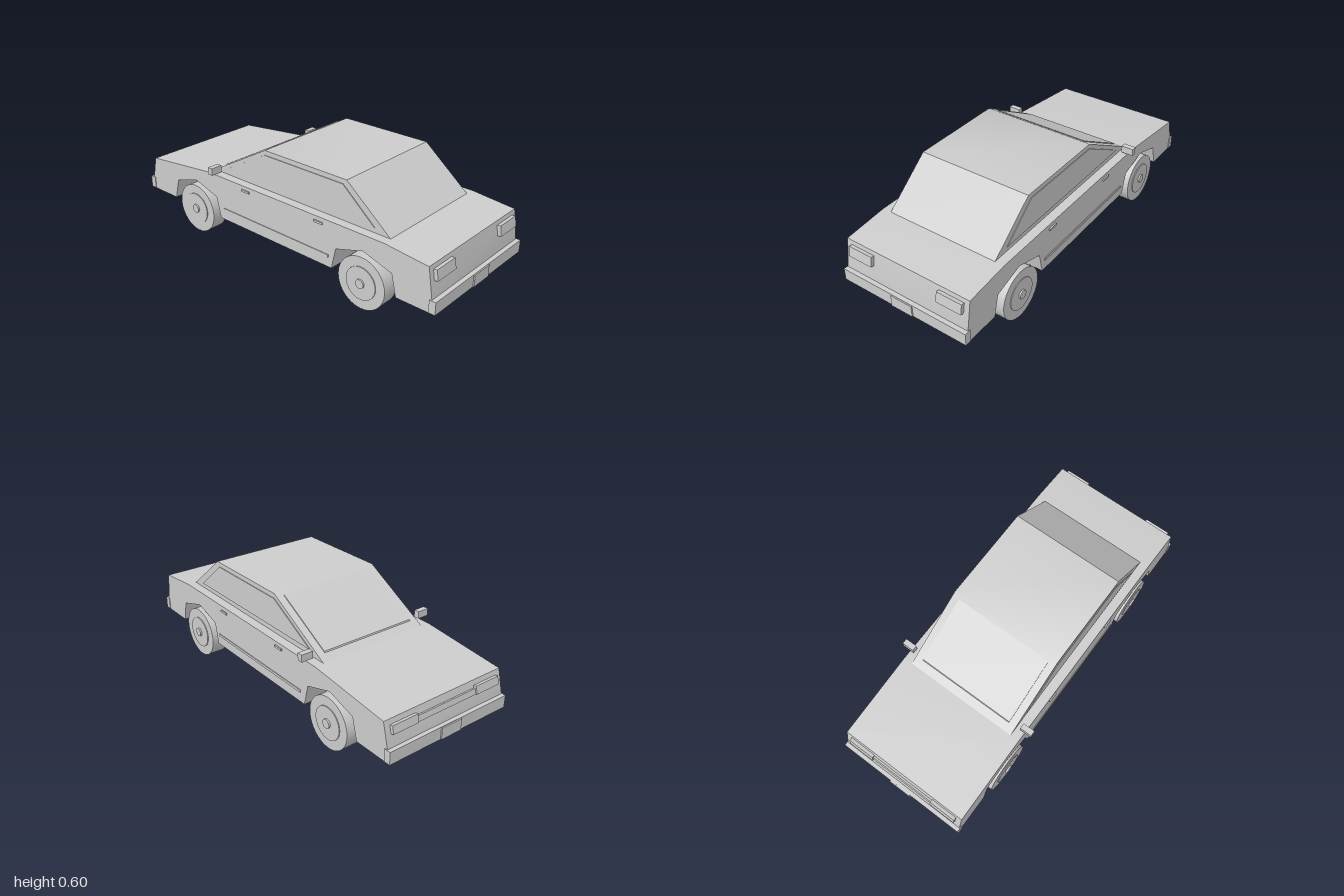
import * as THREE from 'three';
import { toCreasedNormals } from 'three/addons/utils/BufferGeometryUtils.js';

const bodyGrey = new THREE.MeshStandardMaterial({ color: 0xcccccc });
bodyGrey.name = 'bodyGrey';

export function createModel() {
  const car = new THREE.Group();
  car.name = 'car';

  function add(name, geometry) {
    const mesh = new THREE.Mesh(geometry, bodyGrey);
    mesh.name = name;
    car.add(mesh);
    return mesh;
  }

  // Extrude a side profile of (z, y) points across x, centred on x
  function slab(name, points, width, x = 0) {
    const shape = new THREE.Shape(points.map(([z, y]) => new THREE.Vector2(z, y)));
    const geo = new THREE.ExtrudeGeometry(shape, { depth: width, bevelEnabled: false });
    geo.translate(0, 0, -width / 2);
    geo.rotateY(-Math.PI / 2);
    geo.translate(x, 0, 0);
    return add(name, toCreasedNormals(geo, THREE.MathUtils.degToRad(33)));
  }

  function box(name, [w, h, d], [x, y, z], tilt = 0) {
    const mesh = add(name, new THREE.BoxGeometry(w, h, d));
    mesh.position.set(x, y, z);
    mesh.rotation.x = tilt;
    return mesh;
  }

  function disc(name, radius, width, x, z) {
    const geo = new THREE.CylinderGeometry(radius, radius, width, 32);
    geo.rotateZ(Math.PI / 2);
    add(name, geo).position.set(x, 0.138, z);
  }

  // Lower body with wheel arches cut through the full width
  slab('body', [
    [0.97, 0.14], [0.97, 0.21], [0.945, 0.367], [0.705, 0.39],
    [-0.475, 0.385], [-0.94, 0.335], [-0.972, 0.21], [-0.972, 0.14],
    [-0.775, 0.14], [-0.742, 0.255], [-0.58, 0.305], [-0.418, 0.255], [-0.39, 0.14],
    [0.4, 0.14], [0.425, 0.255], [0.587, 0.305], [0.753, 0.255], [0.78, 0.14],
  ], 0.732);

  // Cabin with straight sides
  slab('cabin', [[0.705, 0.389], [0.445, 0.6], [-0.085, 0.6], [-0.475, 0.384]], 0.632);

  // Windscreen plate lying just above the front slope
  slab('windscreen', [[-0.11, 0.586], [-0.107, 0.593], [-0.427, 0.416], [-0.43, 0.409]], 0.55);

  // Bumpers and plates at both ends
  for (const [end, s] of [['rear', 1], ['front', -1]]) {
    box(end + 'Bumper', [0.74, 0.066, 0.035], [0, 0.176, s * 0.976]);
    box(end + 'Plate', [0.126, 0.062, 0.008], [0, 0.176, s * 0.996]);
  }

  // Grille bar
  box('grille', [0.37, 0.03, 0.02], [0, 0.283, -0.953], 0.2);

  for (const [side, s] of [['left', 1], ['right', -1]]) {
    box(side + 'TailLight', [0.142, 0.055, 0.025], [s * 0.266, 0.318, 0.96], -0.16);
    box(side + 'Headlight', [0.15, 0.042, 0.025], [s * 0.26, 0.29, -0.956], 0.2);
    box(side + 'Mirror', [0.066, 0.039, 0.03], [s * 0.373, 0.419, -0.41]);
    box(side + 'SideTrim', [0.008, 0.014, 0.74], [s * 0.366, 0.2, 0.01]);
    for (const z of [0.317, -0.183]) {
      box(side + 'DoorHandle', [0.014, 0.011, 0.055], [s * 0.366, 0.361, z]);
    }

    // Side glass
    slab(side + 'Window',
      [[0.615, 0.415], [0.425, 0.575], [-0.085, 0.575], [-0.375, 0.415]], 0.008, s * 0.316);

    // Wheels: tyre, rim disc and hub
    for (const [end, z] of [['Rear', 0.587], ['Front', -0.58]]) {
      disc(side + end + 'Tyre', 0.138, 0.089, s * 0.329, z);
      disc(side + end + 'Rim', 0.087, 0.02, s * 0.368, z);
      disc(side + end + 'Hub', 0.024, 0.03, s * 0.372, z);
    }
  }
  return car;
}
